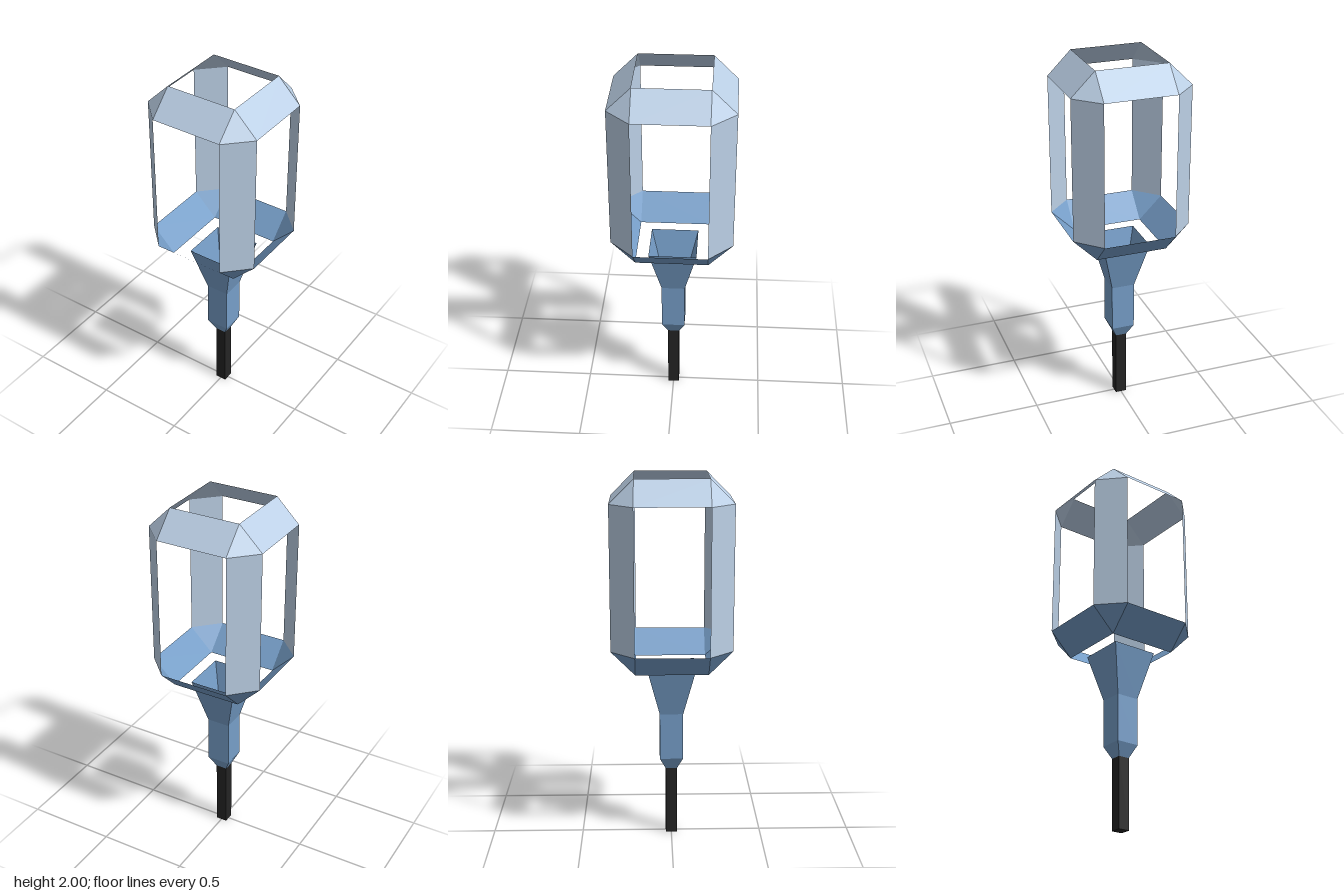
import * as THREE from 'three';

const flat = { flatShading: true, side: THREE.DoubleSide };
const paleBlue = new THREE.MeshStandardMaterial({ name: 'paleBlue', color: 0xbcd0e6, ...flat });
const midBlue = new THREE.MeshStandardMaterial({ name: 'midBlue', color: 0x769ec8, ...flat });
const black = new THREE.MeshStandardMaterial({ name: 'black', color: 0x242424, ...flat });

const OUT = 0.322, IN = 0.194; // half widths of the cage: outer faces and chamfer line

function mesh(name, geometry, material) {
  const m = new THREE.Mesh(geometry, material);
  m.name = name;
  return m;
}

// Flat convex panel from its corners, counter-clockwise seen from outside
function panel(name, corners, material) {
  const pos = [];
  for (let i = 1; i < corners.length - 1; i++) pos.push(...corners[0], ...corners[i], ...corners[i + 1]);
  const g = new THREE.BufferGeometry();
  g.setAttribute('position', new THREE.Float32BufferAttribute(pos, 3));
  g.computeVertexNormals();
  return mesh(name, g, material);
}

// Square shell swept up a profile of [half width, height]
function squareShell(name, profile, material) {
  const pts = profile.map(([h, y]) => new THREE.Vector2(h * Math.SQRT2, y));
  const g = new THREE.LatheGeometry(pts, 4, Math.PI / 4).toNonIndexed();
  g.computeVertexNormals();
  return mesh(name, g, material);
}

// Chamfered ring: one sloping bar and one corner triangle per side
function ring(name, yOuter, yInner, material) {
  const group = new THREE.Group();
  group.name = name;
  const up = yInner > yOuter;
  const order = (c) => (up ? c : c.reverse());
  for (let i = 0; i < 4; i++) {
    const side = new THREE.Group();
    side.name = name + 'Side';
    side.add(
      panel('bar', order([[-IN, yOuter, OUT], [IN, yOuter, OUT], [IN, yInner, IN], [-IN, yInner, IN]]), material),
      panel('corner', order([[IN, yOuter, OUT], [OUT, yOuter, IN], [IN, yInner, IN]]), material)
    );
    side.rotation.y = i * Math.PI / 2;
    group.add(side);
  }
  return group;
}

export function createModel() {
  const model = new THREE.Group();
  model.name = 'lantern';

  // Stick, open where it meets the socket
  model.add(squareShell('stick', [[0, 0], [0.031, 0], [0.031, 0.387]], black));

  // Hollow flared socket, closing to a point inside the stick
  model.add(squareShell('socket', [[0, 0.32], [0.064, 0.453], [0.064, 0.712], [0.129, 0.974]], midBlue));

  // Open cage: lower ring, upper ring and four corner posts
  model.add(ring('lowerRing', 1.102, 0.974, midBlue));
  model.add(ring('upperRing', 1.873, 2, paleBlue));
  for (let i = 0; i < 4; i++) {
    const post = panel('cornerPost', [[IN, 1.102, OUT], [OUT, 1.102, IN], [OUT, 1.873, IN], [IN, 1.873, OUT]], paleBlue);
    post.rotation.y = i * Math.PI / 2;
    model.add(post);
  }
  return model;
}
